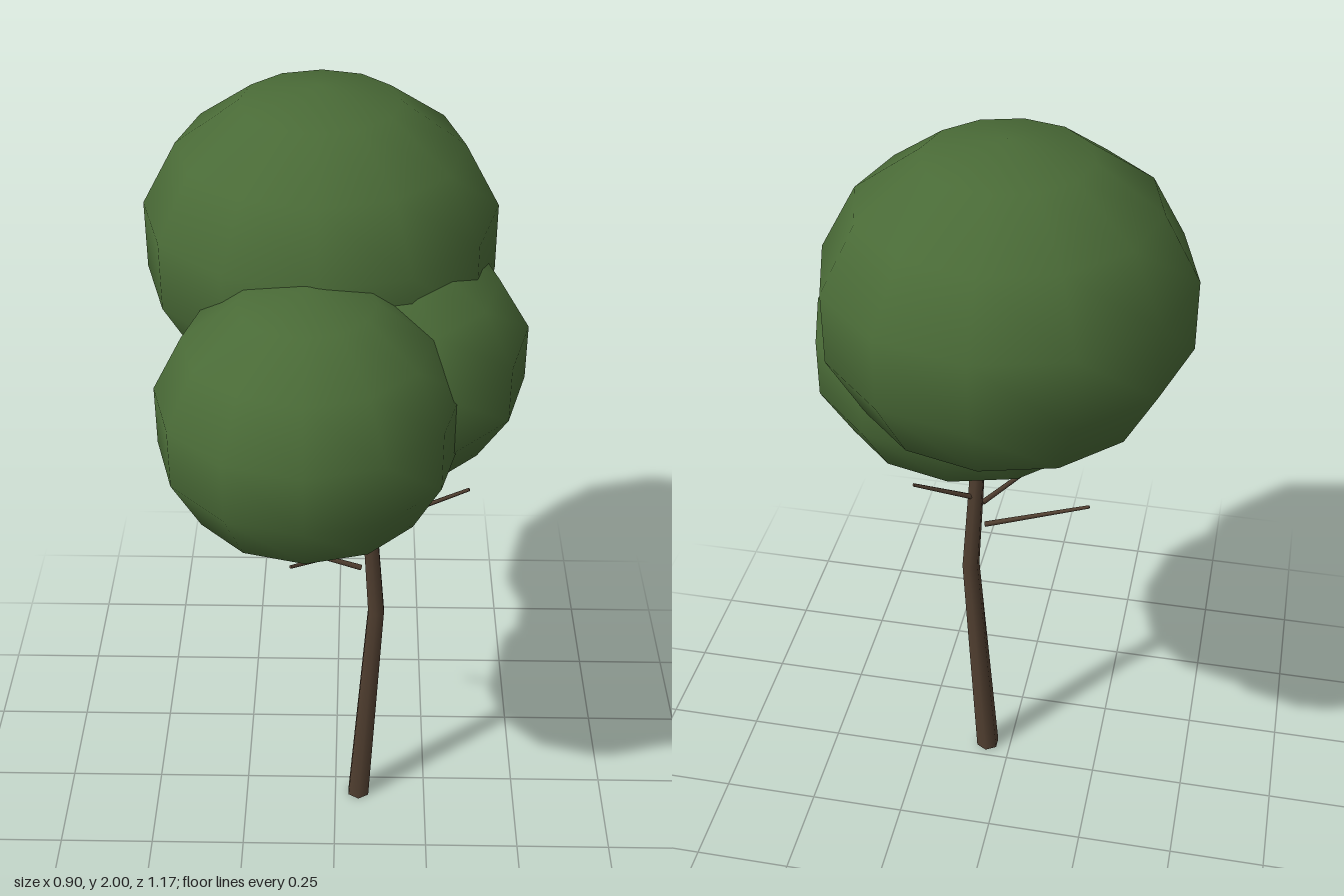
import * as THREE from 'three';

const bark = new THREE.MeshStandardMaterial({ color: 0x524031 });
bark.name = 'bark brown';
const leaf = new THREE.MeshStandardMaterial({ color: 0x4a6b37 });
leaf.name = 'leaf green';

// Six-sided trunk whose rings follow a bent, tapering path
function makeTrunk() {
  const rings = [ // x, y, z, radius
    [0.065, 0, 0.051, 0.032],
    [0.105, 0.67, 0.047, 0.0235],
    [0.065, 1.25, 0.043, 0.017],
  ];
  const geo = new THREE.CylinderGeometry(1, 1, 2, 6, 2);
  const pos = geo.attributes.position;
  for (let i = 0; i < pos.count; i++) {
    const [x, y, z, r] = rings[Math.round(pos.getY(i)) + 1];
    pos.setXYZ(i, x + pos.getX(i) * r, y, z + pos.getZ(i) * r);
  }
  const mesh = new THREE.Mesh(geo, bark);
  mesh.name = 'trunk';
  return mesh;
}

// Thin tapered twig between two points
function makeBranch(from, to) {
  const a = new THREE.Vector3(...from);
  const b = new THREE.Vector3(...to);
  const dir = b.clone().sub(a);
  const mesh = new THREE.Mesh(new THREE.CylinderGeometry(0.0045, 0.0075, dir.length(), 5), bark);
  mesh.position.copy(a).add(b).multiplyScalar(0.5);
  mesh.quaternion.setFromUnitVectors(new THREE.Vector3(0, 1, 0), dir.normalize());
  return mesh;
}

// Slightly flattened leaf clump
function makeClump(x, y, z, radius, halfHeight) {
  const geo = new THREE.SphereGeometry(1, 12, 7);
  geo.scale(radius, halfHeight, radius);
  const mesh = new THREE.Mesh(geo, leaf);
  mesh.position.set(x, y, z);
  return mesh;
}

export function createModel() {
  const tree = new THREE.Group();
  tree.name = 'tree';
  tree.add(makeTrunk());

  const branches = [
    ['lowRightBranch', [0.065, 0.81, 0.047], [-0.205, 0.905, 0.05]],
    ['frontRightBranch', [0.072, 0.878, 0.05], [-0.105, 0.958, 0.23]],
    ['backLeftBranch', [0.09, 0.9, 0.04], [0.225, 0.99, -0.055]],
    ['highLeftBranch', [0.072, 0.94, 0.05], [0.325, 1.08, 0.075]],
  ];
  for (const [name, from, to] of branches) {
    const branch = makeBranch(from, to);
    branch.name = name;
    tree.add(branch);
  }

  const clumps = [
    ['topFoliage', -0.038, 1.63, -0.177, 0.423, 0.37],
    ['frontFoliage', -0.058, 1.4, 0.245, 0.348, 0.322],
    ['leftFoliage', 0.07, 1.412, -0.02, 0.387, 0.308],
  ];
  for (const [name, ...dims] of clumps) {
    const clump = makeClump(...dims);
    clump.name = name;
    tree.add(clump);
  }
  return tree;
}
